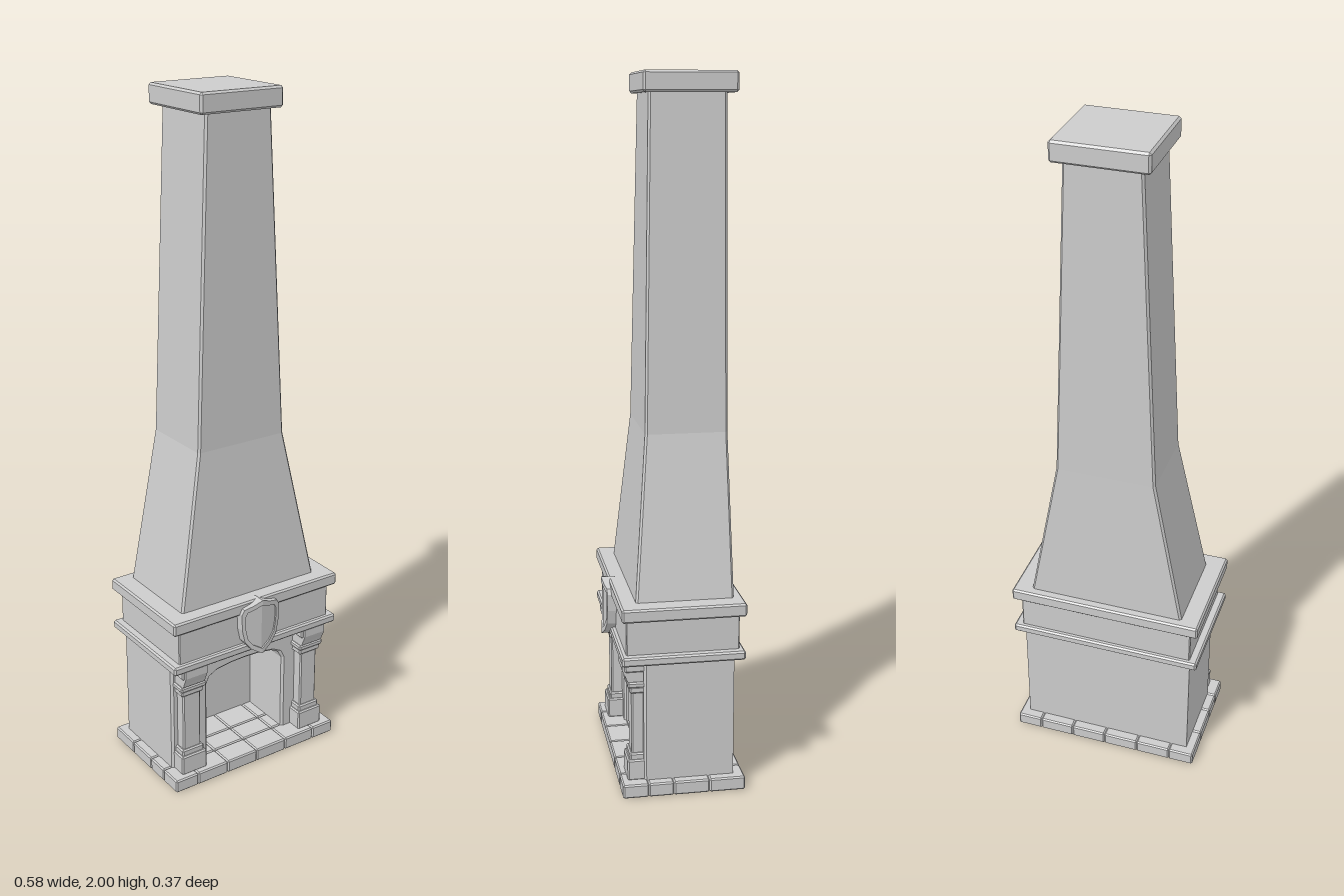
import * as THREE from 'three';
import { ConvexGeometry } from 'three/addons/geometries/ConvexGeometry.js';

const stone = new THREE.MeshStandardMaterial({ color: 0xcccccc });
stone.name = 'pale stone';

function add(parent, geometry, name) {
  const mesh = new THREE.Mesh(geometry, stone);
  mesh.name = name;
  parent.add(mesh);
  return mesh;
}

// Box with chamfered edges, given by its limits
function block(parent, name, x0, x1, y0, y1, z0, z1, c = 0.005) {
  const pts = [];
  for (const [x, dx] of [[x0, c], [x1, -c]])
    for (const [y, dy] of [[y0, c], [y1, -c]])
      for (const [z, dz] of [[z0, c], [z1, -c]])
        pts.push(
          new THREE.Vector3(x, y + dy, z + dz),
          new THREE.Vector3(x + dx, y, z + dz),
          new THREE.Vector3(x + dx, y + dy, z));
  return add(parent, new ConvexGeometry(pts), name);
}

const shapeOf = (pts) => new THREE.Shape(pts.map(([x, y]) => new THREE.Vector2(x, y)));

// Tapered shaft lofted through chamfered rectangles [y, halfWidth, zBack, zFront]
function loft(sections, c) {
  const rings = sections.map(([y, w, b, f]) => [
    [w - c, f], [w, f - c], [w, b + c], [w - c, b],
    [-w + c, b], [-w, b + c], [-w, f - c], [-w + c, f],
  ].map(([x, z]) => [x, y, z]));
  const pos = [];
  for (let i = 0; i < rings.length - 1; i++)
    for (let j = 0; j < 8; j++) {
      const k = (j + 1) % 8;
      const a = rings[i][j], b = rings[i][k], d = rings[i + 1][j], e = rings[i + 1][k];
      pos.push(...a, ...b, ...e, ...a, ...e, ...d);
    }
  const g = new THREE.BufferGeometry();
  g.setAttribute('position', new THREE.Float32BufferAttribute(pos, 3));
  g.computeVertexNormals();
  return g;
}

function makeHearth() {
  const g = new THREE.Group();
  g.name = 'hearthTiles';
  const xs = [-0.29, -0.213, -0.107, 0, 0.107, 0.213, 0.29];
  const zs = [-0.188, -0.085, 0.018, 0.09, 0.164];
  for (let i = 0; i < 6; i++)
    for (let j = 0; j < 4; j++)
      block(g, 'hearthTile', xs[i], xs[i + 1], 0, 0.04, zs[j], zs[j + 1], 0.004);
  return g;
}

function makeFirebox() {
  const g = new THREE.Group();
  g.name = 'firebox';
  // Front wall with an arched opening
  const wall = shapeOf([
    [-0.263, 0.03], [-0.138, 0.03], [-0.138, 0.285], [-0.127, 0.308], [-0.1, 0.322],
    [-0.05, 0.329], [0, 0.331], [0.05, 0.329], [0.1, 0.322], [0.127, 0.308],
    [0.138, 0.285], [0.138, 0.03], [0.263, 0.03], [0.263, 0.4], [-0.263, 0.4]]);
  const t = 0.007;
  const geo = new THREE.ExtrudeGeometry(wall, {
    depth: 0.185 - 2 * t, bevelEnabled: true, bevelThickness: t,
    bevelSize: t, bevelOffset: -t, bevelSegments: 1 });
  geo.translate(0, 0, -0.085 + t);
  add(g, geo, 'archedWall');
  const back = add(g, new THREE.BoxGeometry(0.526, 0.37, 0.088), 'backWall');
  back.position.set(0, 0.215, -0.114);
  return g;
}

function makePillar(side) {
  const g = new THREE.Group();
  g.name = side > 0 ? 'leftPillar' : 'rightPillar';
  const part = (name, w, y0, y1, front) =>
    block(g, name, -w, w, y0, y1, 0.08, front, 0.004);
  part('plinth', 0.043, 0.038, 0.1, 0.146);
  part('plinthMoulding', 0.037, 0.095, 0.118, 0.139);
  part('shaft', 0.03, 0.11, 0.31, 0.133);
  part('neckRing', 0.038, 0.3, 0.32, 0.139);
  part('collar', 0.043, 0.318, 0.335, 0.145);
  // Scrolled bracket, swept across the pillar
  const profile = shapeOf([
    [0.08, 0.33], [0.137, 0.33], [0.146, 0.338], [0.15, 0.35],
    [0.156, 0.362], [0.16, 0.372], [0.16, 0.4], [0.08, 0.4]]);
  const scroll = new THREE.ExtrudeGeometry(profile, { depth: 0.074, bevelEnabled: false });
  scroll.translate(0, 0, -0.037);
  scroll.rotateY(-Math.PI / 2);
  add(g, scroll, 'bracket');
  part('abacus', 0.043, 0.365, 0.398, 0.153);
  g.position.x = side * 0.214;
  return g;
}

function makeMantel() {
  const g = new THREE.Group();
  g.name = 'mantel';
  block(g, 'lowerShelf', -0.29, 0.29, 0.395, 0.421, -0.186, 0.164);
  block(g, 'frieze', -0.266, 0.266, 0.415, 0.53, -0.172, 0.15, 0.003);
  block(g, 'upperShelf', -0.29, 0.29, 0.523, 0.561, -0.188, 0.164);
  return g;
}

function makeShield() {
  const g = new THREE.Group();
  g.name = 'shield';
  const outer = [[0, 0.564], [0.03, 0.552], [0.058, 0.545], [0.066, 0.53], [0.065, 0.48],
    [0.056, 0.438], [0.034, 0.41], [0, 0.389]];
  const inner = outer.map(([x, y]) => [x * 0.82, 0.48 + (y - 0.48) * 0.82]);
  for (const s of [-1, 1]) {
    // Each half slopes back from the central ridge
    const half = (pts, edge, name) => {
      const geo = new THREE.ExtrudeGeometry(
        shapeOf(pts.map(([x, y]) => [s * x, y])), { depth: 1, bevelEnabled: false });
      const p = geo.attributes.position;
      for (let i = 0; i < p.count; i++)
        p.setZ(i, p.getZ(i) > 0.5 ? edge + 0.011 * (1 - Math.abs(p.getX(i)) / 0.066) : 0.145);
      geo.computeVertexNormals();
      add(g, geo, name);
    };
    half([...outer, ...inner.slice().reverse()], 0.175, 'shieldRim');
    half(inner, 0.17, 'shieldFace');
  }
  return g;
}

export function createModel() {
  const model = new THREE.Group();
  model.name = 'fireplace';
  model.add(makeHearth(), makeFirebox(), makePillar(1), makePillar(-1), makeMantel(), makeShield());
  // Hood narrowing into the flue
  add(model, loft([
    [0.555, 0.235, -0.162, 0.118],
    [1.02, 0.146, -0.158, 0.076],
    [1.96, 0.104, -0.157, 0.058]], 0.006), 'chimney');
  block(model, 'chimneyCap', -0.131, 0.131, 1.943, 2, -0.184, 0.076, 0.006);
  return model;
}
